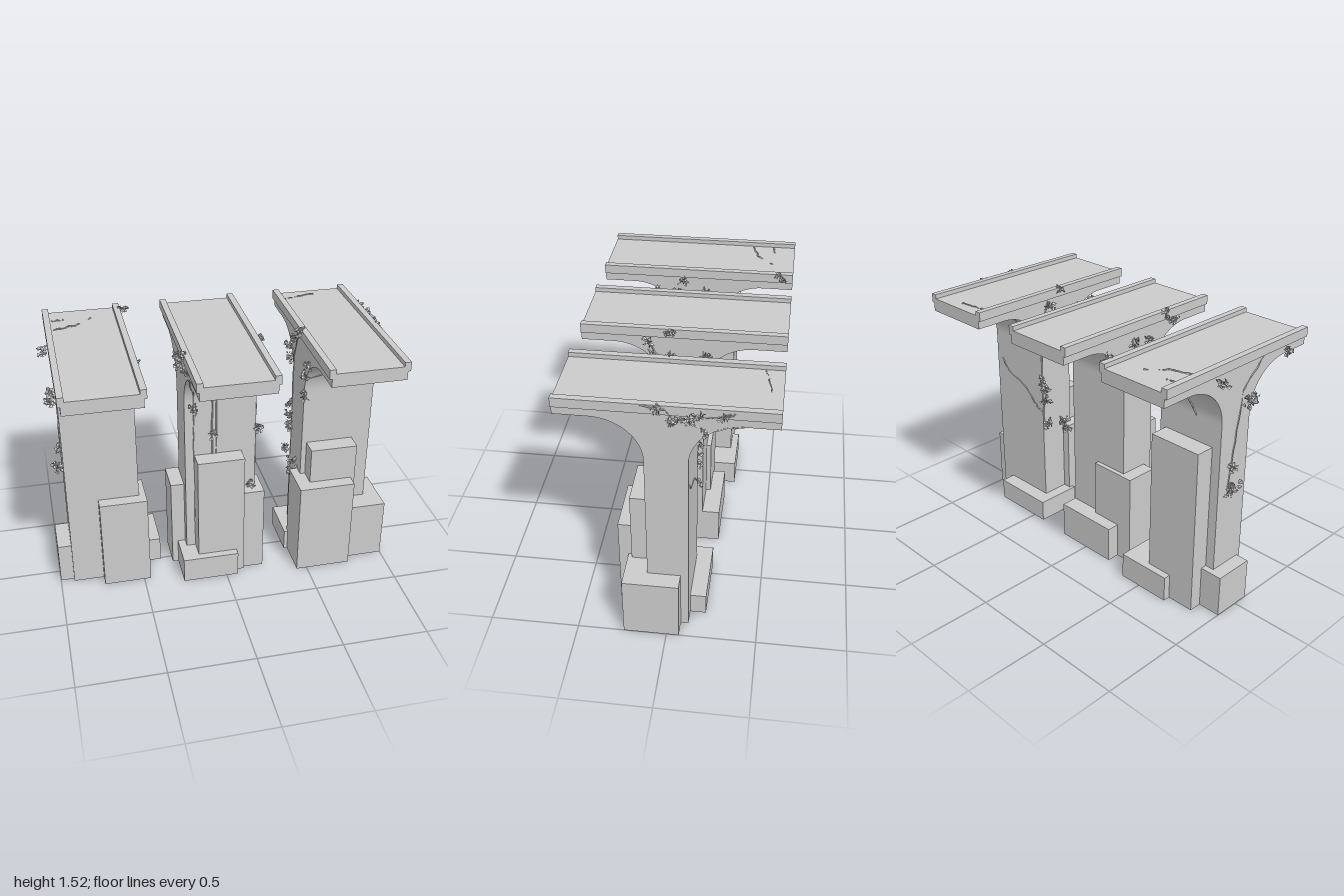
import * as THREE from 'three';
import { mergeGeometries } from 'three/addons/utils/BufferGeometryUtils.js';

const grey = new THREE.MeshStandardMaterial({ color: 0xcccccc, side: THREE.DoubleSide });
const flat = new THREE.MeshStandardMaterial({ color: 0xcccccc, side: THREE.DoubleSide, flatShading: true });

let seed = 7;
const rnd = () => (seed = (seed * 16807) % 2147483647) / 2147483647;
const jit = (a) => (rnd() - 0.5) * 2 * a;

const COL = 0.113, RZ = 0.27, RY = 0.25, SPRING = 1.15;

// Half depth of the pier at height y (straight shaft, then elliptical flare)
function pierZ(y) {
  if (y <= SPRING) return COL;
  const t = Math.min((y - SPRING) / RY, 1);
  return COL + RZ * (1 - Math.sqrt(1 - t * t));
}

function add(parent, name, geometry, material = grey) {
  const mesh = new THREE.Mesh(geometry, material);
  mesh.name = name;
  parent.add(mesh);
  return mesh;
}

function block(parent, name, x0, x1, y0, y1, z0, z1) {
  add(parent, name, new THREE.BoxGeometry(x1 - x0, y1 - y0, z1 - z0))
    .position.set((x0 + x1) / 2, (y0 + y1) / 2, (z0 + z1) / 2);
}

// T-shaped side profile extruded across the pier's width
function pierGeometry(width) {
  const s = new THREE.Shape();
  s.moveTo(-COL, 0);
  s.lineTo(COL, 0);
  s.lineTo(COL, SPRING);
  s.absellipse(COL + RZ, SPRING, RZ, RY, Math.PI, Math.PI / 2, true);
  s.lineTo(0.56, 1.4);
  s.lineTo(0.56, 1.45);
  s.lineTo(-0.56, 1.45);
  s.lineTo(-0.56, 1.4);
  s.lineTo(-COL - RZ, 1.4);
  s.absellipse(-COL - RZ, SPRING, RZ, RY, Math.PI / 2, 0, true);
  s.lineTo(-COL, 0);
  const g = new THREE.ExtrudeGeometry(s, { depth: width, bevelEnabled: false, curveSegments: 20 });
  g.translate(0, 0, -width / 2);
  g.rotateY(-Math.PI / 2);
  return g;
}

// Clump of small folded leaves
function leafClump(parent, x, y, z, size = 0.032) {
  const leaves = [];
  for (let i = 0; i < 16; i++) {
    const g = new THREE.BufferGeometry();
    g.setAttribute('position', new THREE.Float32BufferAttribute(
      [0, 0, 0, 0.45, 0.5, 0.2, 0, 1, 0, -0.45, 0.5, 0.2], 3));
    g.setIndex([0, 1, 2, 0, 2, 3]);
    g.computeVertexNormals();
    const k = size * (0.6 + 0.5 * rnd());
    g.scale(k, k, k);
    g.rotateX(rnd() * 6.28);
    g.rotateZ(rnd() * 6.28);
    g.translate(jit(size * 0.45), jit(size * 0.6), jit(size * 0.6));
    leaves.push(g);
  }
  add(parent, 'leafClump', mergeGeometries(leaves), flat).position.set(x, y, z);
}

// Thin creeping stem through a few points, slightly wavering
function vine(parent, points) {
  const base = new THREE.CatmullRomCurve3(points.map((p) => new THREE.Vector3(...p)), false, 'catmullrom', 0);
  const wavy = base.getPoints(points.length * 4).map((p) => p.add(new THREE.Vector3(jit(0.003), jit(0.006), jit(0.003))));
  add(parent, 'vine', new THREE.TubeGeometry(new THREE.CatmullRomCurve3(wavy), 40, 0.004, 4), flat);
}
// Stem lying on the front (side 1) or back (side -1) face of a pier
const faceVine = (parent, side, pts) => vine(parent, pts.map(([x, y]) => [x, y, side * pierZ(y)]));

export function createModel() {
  const model = new THREE.Group();
  model.name = 'viaductRuins';
  const centres = [-0.71, -0.01, 0.695];

  // Piers with deck and parapets
  const piers = centres.map((cx, i) => {
    const pier = new THREE.Group();
    pier.name = ['rightPier', 'middlePier', 'leftPier'][i];
    add(pier, 'flaredPier', pierGeometry(0.42)).position.x = cx;
    block(pier, 'deck', cx - 0.19, cx + 0.19, 1.45, 1.478, -0.56, 0.56);
    for (const s of [-1, 1]) {
      const e = cx + s * 0.207;
      block(pier, 'parapet', e - 0.018, e + 0.018, 1.45, 1.503, -0.56, 0.56);
    }
    model.add(pier);
    return pier;
  });

  // Blocks stacked around the feet: x0, x1, height, z0, z1
  const feet = [
    [
      [-1, -0.72, 0.25, -0.15, 0.09],
      [-0.74, -0.46, 0.57, -0.05, 0.185],
      [-0.7, -0.37, 0.155, -0.267, 0.01],
      [-0.865, -0.54, 1.0, -0.225, 0.02],
    ],
    [
      [-0.3, -0.01, 0.57, -0.14, 0.055],
      [-0.265, 0.07, 0.155, 0.0, 0.26],
      [-0.165, 0.115, 0.8, -0.02, 0.215],
      [0.0, 0.24, 0.55, 0.01, 0.2],
      [-0.2, 0.2, 0.22, -0.215, 0.03],
    ],
    [
      [0.415, 0.815, 0.13, -0.203, 0.075],
      [0.437, 0.77, 0.583, 0.05, 0.293],
      [0.515, 0.795, 0.8, -0.02, 0.217],
      [0.7, 1.0, 0.37, -0.07, 0.24],
    ],
  ];
  feet.forEach((list, i) => list.forEach(([x0, x1, h, z0, z1]) =>
    block(piers[i], 'footBlock', x0, x1, 0, h, z0, z1)));

  // Leaf clumps: x, y, z
  const clumps = [
    [
      [-0.95, 1.43, 0.36], [-0.96, 1.41, -0.17], [-0.955, 1.24, 0.05], [-0.955, 1.24, 0.1], [-0.93, 0.87, -0.02],
      [-0.945, 0.75, 0.0], [-0.95, 0.73, -0.05], [-0.47, 1.49, -0.49], [-0.475, 1.43, 0.09],
      [-0.48, 1.35, 0.12], [-0.48, 1.36, -0.05],
    ],
    [
      [-0.235, 1.49, 0.2], [-0.24, 1.43, 0.27], [-0.235, 1.37, 0.07], [-0.235, 1.38, -0.04], [-0.17, 1.12, 0.125],
      [0.225, 1.49, 0.07], [0.23, 1.43, 0.18], [0.225, 1.34, 0.17], [0.22, 1.23, 0.12], [0.215, 0.95, 0.12],
      [0.215, 1.34, -0.12], [0.17, 0.57, 0.12], [-0.13, 1.35, 0.24], [-0.06, 0.94, 0.115],
    ],
    [
      [0.47, 1.49, 0.04], [0.46, 1.41, -0.05], [0.47, 1.34, 0.18], [0.48, 1.25, 0.13], [0.48, 1.13, 0.125],
      [0.475, 1.25, -0.15], [0.47, 1.31, -0.17], [0.475, 0.94, -0.12], [0.47, 0.88, -0.1], [0.47, 0.8, -0.1],
      [0.45, 0.65, -0.1], [0.45, 0.63, 0.02], [0.45, 0.57, 0.04], [0.93, 1.47, -0.29],
      [0.945, 1.46, -0.16], [0.95, 1.45, -0.11], [0.94, 1.44, -0.07], [0.935, 1.43, -0.03], [0.925, 1.48, 0.04],
      [0.905, 1.35, -0.19],
    ],
  ];
  clumps.forEach((list, i) => list.forEach((p) => leafClump(piers[i], ...p)));

  // Vines over the faces, sides and deck
  const [right, middle, left] = piers;
  faceVine(right, 1, [[-0.91, 1.23], [-0.72, 1.26], [-0.58, 1.32], [-0.51, 1.35]]);
  vine(right, [[-0.92, 1.44, 0.2], [-0.92, 1.3, 0.05], [-0.92, 1.0, 0.0], [-0.92, 0.73, -0.04]]);
  vine(right, [[-0.9, 1.478, -0.3], [-0.76, 1.478, -0.34], [-0.66, 1.478, -0.43]]);
  vine(right, [[-0.89, 1.478, -0.43], [-0.82, 1.478, -0.435]]);
  faceVine(right, -1, [[-0.5, 1.37], [-0.6, 1.3], [-0.7, 1.26], [-0.75, 1.15]]);

  faceVine(middle, 1, [[-0.215, 1.36], [-0.165, 1.2], [-0.165, 0.9], [-0.165, 0.2]]);
  for (const x of [-0.06, -0.035]) faceVine(middle, 1, [[x, 1.36], [x, 1.2], [x, 0.8]]);
  faceVine(middle, 1, [[-0.035, 1.22], [0.07, 1.23], [0.07, 1.3], [0.13, 1.31], [0.14, 1.37]]);
  faceVine(middle, 1, [[0.08, 1.22], [0.18, 1.22], [0.2, 1.28]]);
  vine(middle, [[0.2, 1.4, 0.18], [0.2, 1.22, 0.11], [0.2, 0.95, 0.11], [0.2, 0.7, 0.11]]);

  faceVine(left, 1, [[0.49, 1.23], [0.62, 1.27], [0.72, 1.34], [0.85, 1.37]]);
  faceVine(left, -1, [[0.86, 0.98], [0.8, 0.9], [0.65, 0.85], [0.55, 0.76], [0.49, 0.72]]);
  faceVine(left, -1, [[0.8, 1.38], [0.7, 1.32], [0.6, 1.3], [0.49, 1.2]]);
  vine(left, [[0.485, 1.44, -0.05], [0.485, 1.25, -0.11], [0.485, 0.9, -0.11], [0.485, 0.6, -0.1]]);
  vine(left, [[0.92, 1.5, 0.12], [0.92, 1.48, 0.0], [0.91, 1.42, -0.06], [0.905, 1.38, -0.17],
    [0.905, 1.35, -0.2], [0.905, 1.38, -0.28], [0.905, 1.4, -0.38]]);
  vine(left, [[0.92, 1.45, -0.2], [0.92, 1.465, -0.27], [0.92, 1.48, -0.34]]);
  vine(left, [[0.52, 1.478, -0.46], [0.6, 1.478, -0.48], [0.71, 1.478, -0.5]]);

  return model;
}
